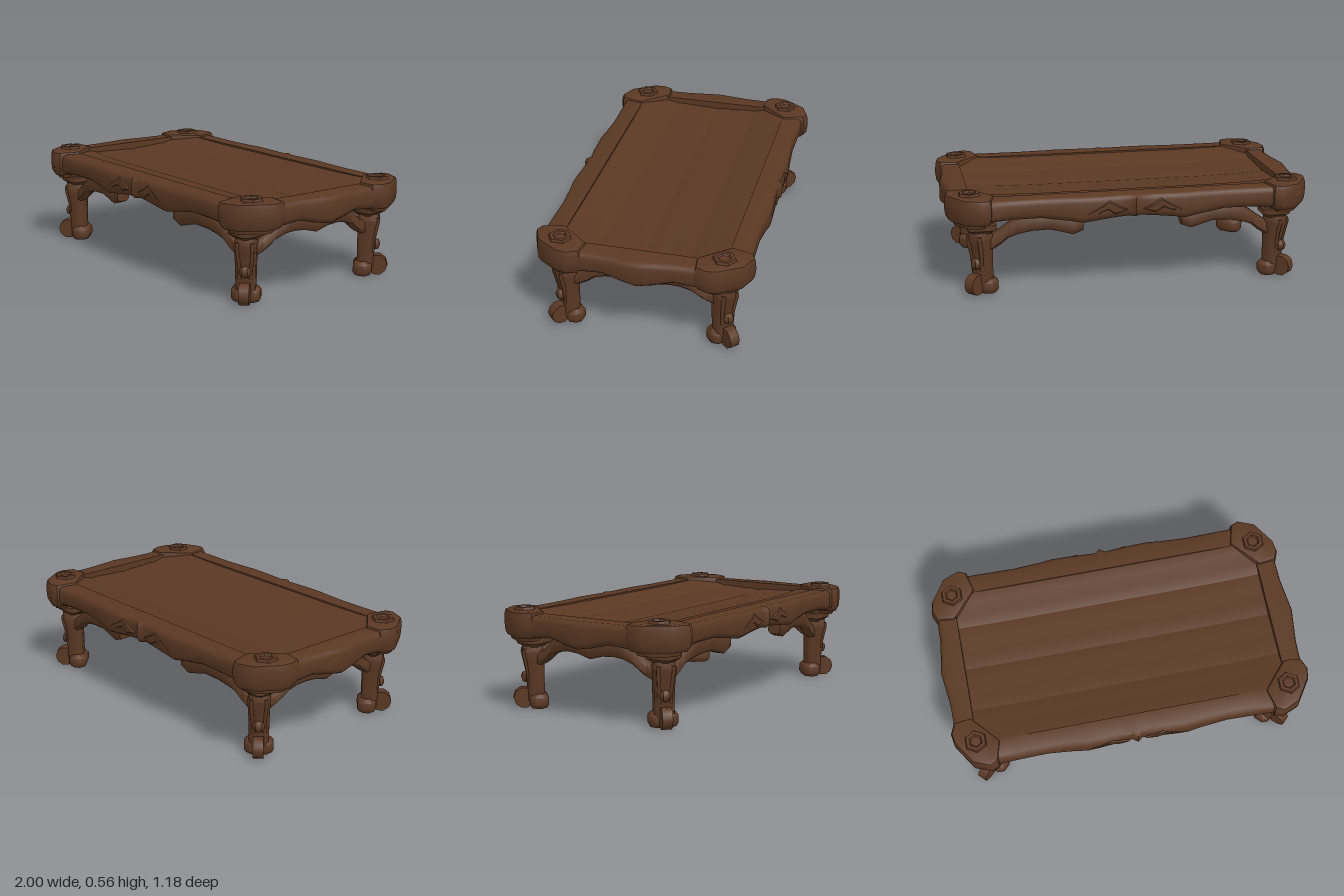
import * as THREE from 'three';
import { toCreasedNormals } from 'three/addons/utils/BufferGeometryUtils.js';

const wood = new THREE.MeshStandardMaterial({ color: 0x5a3823 });
wood.name = 'dark wood';

// Skins a row of closed rings (arrays of [x, y, z]) and caps both ends.
function loft(rings, crease = 0.85) {
  const n = rings[0].length, pts = rings.flat(), idx = [];
  for (let r = 0; r < rings.length - 1; r++) {
    for (let i = 0; i < n; i++) {
      const a = r * n + i, b = r * n + (i + 1) % n;
      idx.push(a, b, a + n, b, b + n, a + n);
    }
  }
  [0, rings.length - 1].forEach((r, end) => {
    const c = pts.length;
    pts.push([0, 1, 2].map(k => rings[r].reduce((s, p) => s + p[k], 0) / n));
    for (let i = 0; i < n; i++) {
      const a = r * n + i, b = r * n + (i + 1) % n;
      idx.push(...(end ? [c, a, b] : [c, b, a]));
    }
  });
  // Turn the skin outward when the enclosed volume comes out negative.
  const v = pts.map(p => new THREE.Vector3(...p));
  let volume = 0;
  for (let i = 0; i < idx.length; i += 3) {
    volume += v[idx[i]].dot(v[idx[i + 1]].clone().cross(v[idx[i + 2]]));
  }
  if (volume < 0) idx.reverse();
  const g = new THREE.BufferGeometry();
  g.setAttribute('position', new THREE.Float32BufferAttribute(pts.flat(), 3));
  g.setIndex(idx);
  return toCreasedNormals(g, crease);
}

// Rectangle with cut corners, as pairs.
const cutRect = (a0, a1, b0, b1, c) => [
  [a0 + c, b0], [a1 - c, b0], [a1, b0 + c], [a1, b1 - c],
  [a1 - c, b1], [a0 + c, b1], [a0, b1 - c], [a0, b0 + c]];

// Rail section: square inside, rounded along the outer edges.
const railSection = (a, b, y0, y1) => [
  [a, y0], [b - 0.022, y0], [b - 0.006, y0 + 0.012], [b, y0 + 0.03],
  [b, y1 - 0.03], [b - 0.007, y1 - 0.01], [b - 0.025, y1], [a, y1]];
const braceSection = (a, b, y0, y1) => cutRect(a, b, y0, y1, 0.014);

// Beam stations are [along, yLow, yHigh, inner, outer].
const beamX = (st, section) => loft(st.map(([t, y0, y1, a, b]) =>
  section(a, b, y0, y1).map(([z, y]) => [t, y, z])));
const beamZ = (st, section) => loft(st.map(([t, y0, y1, a, b]) =>
  section(a, b, y0, y1).map(([x, y]) => [x, y, t])));

// Completes a half list of stations that starts at the centre.
const mirrored = half => [
  ...half.slice(1).reverse().map(([t, ...rest]) => [-t, ...rest]), ...half];

function add(parent, name, geometry, x = 0, y = 0, z = 0) {
  const m = new THREE.Mesh(geometry, wood);
  m.name = name;
  m.position.set(x, y, z);
  parent.add(m);
  return m;
}

// Plank between two z edges; the deck is dished and rises to meet the rails.
function plank(z0, z1) {
  const top = [], under = [];
  for (let i = 0; i <= 6; i++) {
    const z = z0 + (z1 - z0) * i / 6;
    const y = 0.478 + 0.049 * Math.pow(Math.abs(z) / 0.45, 2.4) - (i % 6 ? 0 : 0.006);
    top.push([y, z]);
    under.unshift([y - (i % 6 ? 0.042 : 0.028), z]);
  }
  const ring = [...top, ...under];
  const stations = mirrored([[0, 0], [0.5, 0], [0.7, 0.004], [0.88, 0.014]]);
  return loft(stations.map(([x, lift]) => ring.map(([y, z]) => [x, y + lift, z])), 0.5);
}

// Diagonal leg with shoulder, knee and scrolled foot; local +z points outward.
function makeLeg() {
  const leg = new THREE.Group();
  leg.name = 'leg';
  leg.position.set(0.82, 0, 0.43);
  leg.rotation.y = Math.PI / 4;
  const shaft = [
    [0.04, 0.05, -0.062, 0.028], [0.1, 0.052, -0.06, 0.03], [0.2, 0.054, -0.06, 0.033],
    [0.26, 0.056, -0.06, 0.044], [0.31, 0.06, -0.06, 0.056], [0.345, 0.05, -0.052, 0.05]];
  add(leg, 'shaft', loft(shaft.map(([y, w, b, f]) =>
    cutRect(-w, w, b, f, 0.02).map(([x, z]) => [x, y, z]))));
  // Raised edges of the front panel
  for (const s of [-1, 1]) {
    add(leg, 'panelEdge', loft([[0.13, 0.03, 0.034], [0.2, 0.032, 0.038], [0.3, 0.04, 0.06], [0.325, 0.038, 0.058]]
      .map(([y, x, z]) => cutRect(s * x - 0.009, s * x + 0.009, z - 0.025, z, 0.003)
        .map(([a, b]) => [a, y, b]))));
  }
  const knee = add(leg, 'knee', toCreasedNormals(new THREE.SphereGeometry(0.027, 6, 4), 0.9), 0, 0.17, 0.04);
  knee.scale.set(1.2, 1.2, 1);
  // Foot block with side toes, and rolled front toe
  add(leg, 'foot', loft([[0, 0.01], [0.02, 0], [0.06, 0], [0.08, 0.014]].map(([y, d]) =>
    cutRect(d - 0.076, 0.076 - d, d - 0.08, 0.022 - d, 0.026).map(([x, z]) => [x, y, z]))));
  const roll = new THREE.CylinderGeometry(0.057, 0.057, 0.054, 10);
  roll.rotateZ(Math.PI / 2);
  add(leg, 'toe', toCreasedNormals(roll, 0.7), 0, 0.057, 0.05);
  return leg;
}

// Everything belonging to one corner, for +x and +z.
function makeCorner() {
  const corner = new THREE.Group();
  corner.name = 'corner';
  const plan = [[1, 0.36], [0.99, 0.42], [0.905, 0.55], [0.81, 0.588], [0.768, 0.57],
    [0.737, 0.45], [0.88, 0.288], [0.975, 0.3]];
  const rings = [[0.382, 0.66], [0.402, 0.7], [0.404, 0.86], [0.425, 0.96], [0.47, 1],
    [0.52, 0.98], [0.54, 0.93], [0.546, 0.8]];
  add(corner, 'cornerBlock', loft(rings.map(([y, s]) =>
    plan.map(([x, z]) => [0.87 + (x - 0.87) * s, y, 0.44 + (z - 0.44) * s]))));
  // Peg on top: a dished hexagonal disc
  const peg = new THREE.LatheGeometry([[0.066, 0.54], [0.058, 0.56], [0.038, 0.56], [0.03, 0.55], [0, 0.55]]
    .map(([r, y]) => new THREE.Vector2(r, y)), 6);
  add(corner, 'peg', toCreasedNormals(peg, 0.3), 0.87, 0, 0.435);
  // Collar between block and leg
  add(corner, 'collar', loft([[0.335, 0.05], [0.35, 0.066], [0.358, 0.078], [0.388, 0.078], [0.392, 0.064], [0.42, 0.064]]
    .map(([y, r]) => cutRect(0.812 - r, 0.812 + r, 0.424 - r * 0.93, 0.424 + r * 0.93, 0.02)
      .map(([x, z]) => [x, y, z]))));
  corner.add(makeLeg());
  // Curved brace under the long rail
  add(corner, 'longBrace', beamX([
    [0.27, 0.33, 0.41, 0.415, 0.492], [0.325, 0.31, 0.42, 0.412, 0.495], [0.38, 0.325, 0.435, 0.41, 0.492],
    [0.45, 0.343, 0.44, 0.41, 0.488], [0.55, 0.338, 0.435, 0.408, 0.482], [0.62, 0.322, 0.412, 0.404, 0.474],
    [0.67, 0.303, 0.38, 0.4, 0.466], [0.71, 0.268, 0.35, 0.396, 0.46], [0.77, 0.23, 0.31, 0.395, 0.455]], braceSection));
  // Carved leaf on the long rail
  const leaf = new THREE.Shape([[0.05, 0.455], [0.1, 0.475], [0.14, 0.502], [0.18, 0.478],
    [0.255, 0.44], [0.2, 0.445], [0.15, 0.465], [0.11, 0.44]].map(p => new THREE.Vector2(...p)));
  const carved = new THREE.ExtrudeGeometry(leaf, {
    depth: 0.008, bevelEnabled: true, bevelSize: 0.006, bevelThickness: 0.008, bevelSegments: 1 });
  add(corner, 'leafCarving', toCreasedNormals(carved, 0.9), 0, 0, 0.552);
  return corner;
}

export function createModel() {
  const table = new THREE.Group();
  table.name = 'table';

  // Deck planks
  const seams = [-0.455, -0.25, -0.005, 0.24, 0.455];
  for (let i = 0; i < 4; i++) add(table, 'plank', plank(seams[i], seams[i + 1]));

  // Corners with legs
  for (const sx of [-1, 1]) {
    for (const sz of [-1, 1]) {
      const corner = makeCorner();
      corner.scale.set(sx, 1, sz);
      table.add(corner);
    }
  }

  // Long rails, with a shaped lower edge and a small centre point
  const longRail = beamX(mirrored([
    [0, 0.413, 0.53, 0.44, 0.576], [0.03, 0.414, 0.53, 0.44, 0.555], [0.1, 0.41, 0.53, 0.44, 0.56],
    [0.2, 0.4, 0.53, 0.44, 0.565], [0.28, 0.39, 0.53, 0.44, 0.566], [0.35, 0.402, 0.53, 0.44, 0.558],
    [0.5, 0.425, 0.53, 0.44, 0.55], [0.65, 0.425, 0.53, 0.44, 0.553], [0.8, 0.415, 0.53, 0.44, 0.555]]), railSection);
  // Short rails, dipping in the middle
  const shortRail = beamZ(mirrored([
    [0, 0.383, 0.53, 0.865, 1], [0.08, 0.395, 0.53, 0.865, 0.99], [0.19, 0.42, 0.53, 0.865, 0.977],
    [0.29, 0.412, 0.53, 0.865, 0.975], [0.4, 0.405, 0.53, 0.865, 0.975]]), railSection);
  // Arched braces joining the legs at each end
  const shortBrace = beamZ(mirrored([
    [0, 0.315, 0.41, 0.81, 0.885], [0.08, 0.337, 0.42, 0.81, 0.885], [0.15, 0.342, 0.43, 0.808, 0.882],
    [0.2, 0.335, 0.42, 0.804, 0.876], [0.26, 0.312, 0.39, 0.797, 0.866], [0.3, 0.278, 0.36, 0.792, 0.858],
    [0.34, 0.252, 0.325, 0.788, 0.85], [0.39, 0.23, 0.305, 0.785, 0.845]]), braceSection);
  for (const s of [-1, 1]) {
    add(table, 'longRail', longRail).scale.z = s;
    add(table, 'shortRail', shortRail).scale.x = s;
    add(table, 'shortBrace', shortBrace).scale.x = s;
  }
  return table;
}
